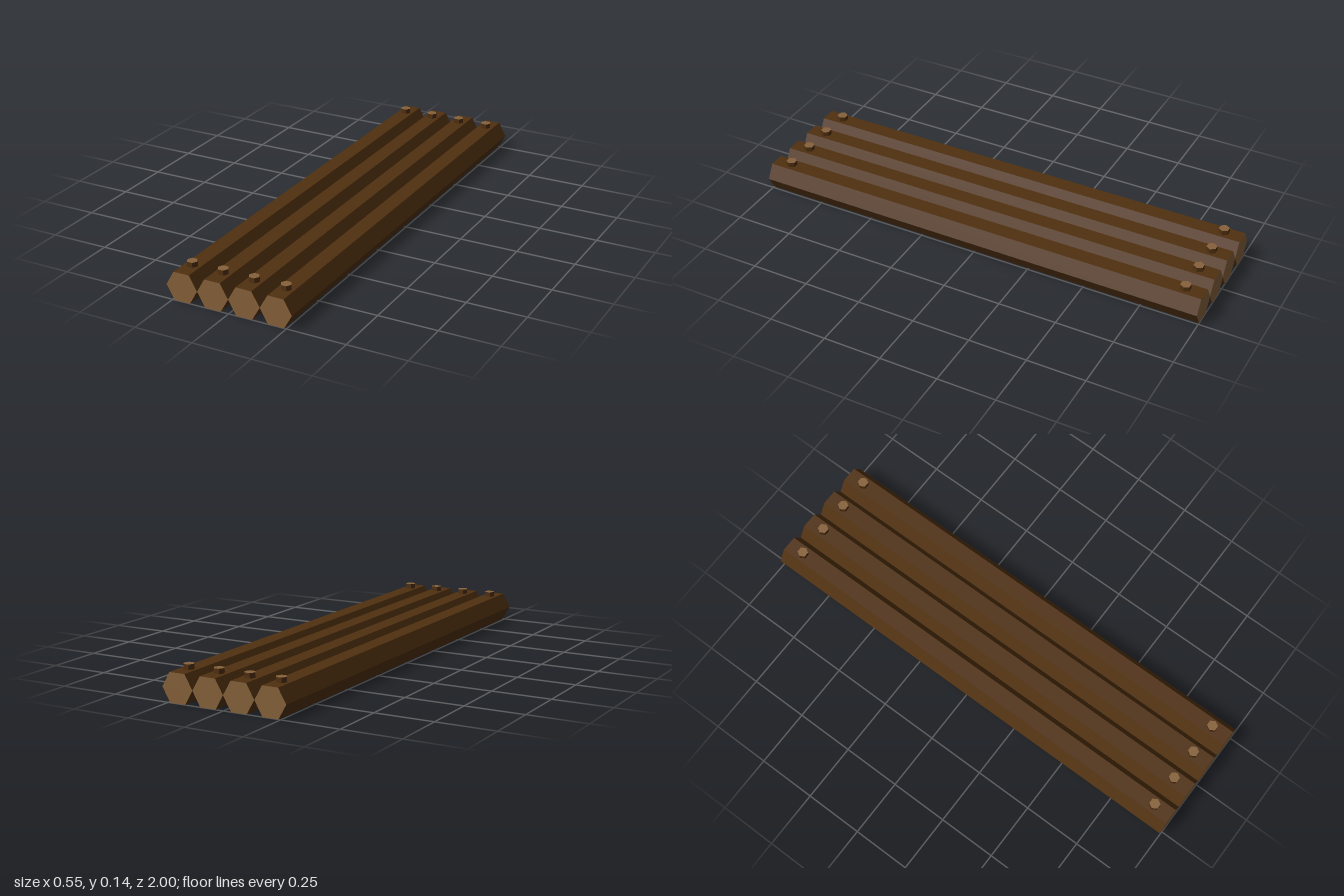
import * as THREE from 'three';

// Six-sided prism along y with corners on +x and -x, and crisp faces
function hexPrism(radius, length) {
  const geometry = new THREE.CylinderGeometry(radius, radius, length, 6).rotateY(Math.PI / 6).toNonIndexed();
  geometry.computeVertexNormals();
  return geometry;
}

export function createModel() {
  const bark = new THREE.MeshStandardMaterial({ color: 0x50300f });
  bark.name = 'dark bark';
  const cutWood = new THREE.MeshStandardMaterial({ color: 0x87623b });
  cutWood.name = 'cut wood';
  const materials = [bark, cutWood, cutWood]; // side, top cap, bottom cap

  const logRadius = 0.0688, logHeight = 0.12, spacing = 0.1375;
  const pegHeight = 0.021, pegSink = 0.01;
  const logGeometry = hexPrism(logRadius, 2).rotateX(Math.PI / 2);
  logGeometry.scale(1, logHeight / (logRadius * Math.sqrt(3)), 1);
  const pegGeometry = hexPrism(0.023, pegHeight + pegSink);

  const model = new THREE.Group();
  model.name = 'logPlatform';

  // Four logs side by side, each with a peg near both ends
  for (let i = 0; i < 4; i++) {
    const beam = new THREE.Group();
    beam.name = `peggedLog${i + 1}`;
    beam.position.x = (i - 1.5) * spacing;

    const log = new THREE.Mesh(logGeometry, materials);
    log.name = 'log';
    log.position.y = logHeight / 2;
    beam.add(log);

    for (const side of [1, -1]) {
      const peg = new THREE.Mesh(pegGeometry, materials);
      peg.name = side > 0 ? 'frontPeg' : 'backPeg';
      peg.position.set(0, logHeight + (pegHeight - pegSink) / 2, side * 0.92);
      beam.add(peg);
    }
    model.add(beam);
  }
  return model;
}
